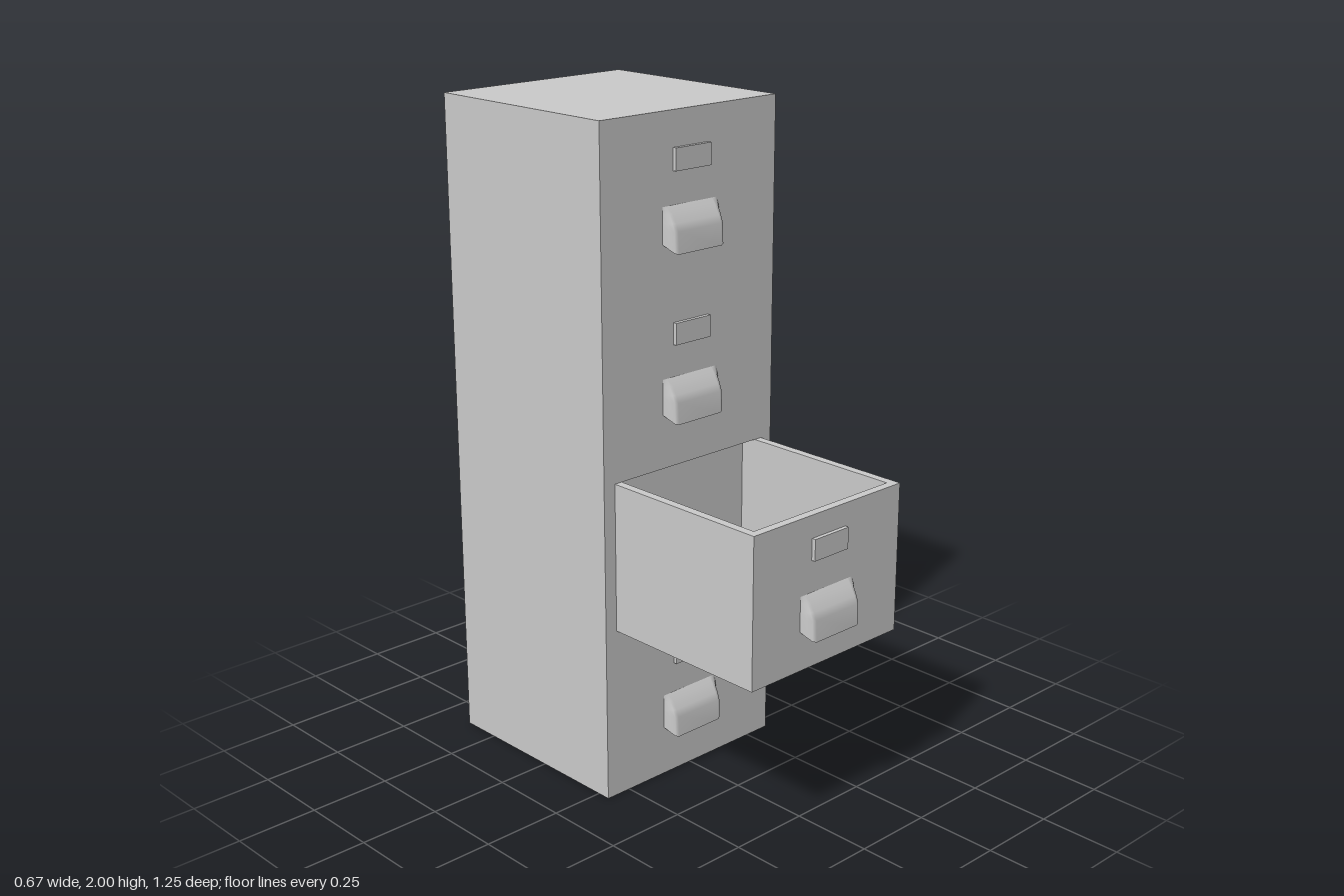
import * as THREE from 'three';

const mat = new THREE.MeshStandardMaterial({ color: 0xcccccc, side: THREE.DoubleSide });

const W = 0.667, H = 2, BACK = -0.625, FRONT = 0.042;      // cabinet
const DW = 0.586, DH = 0.45, DD = 0.62, LIP = 0.026;       // drawer
const FIRST = 0.036, STEP = 0.493, PULL = 0.543;           // drawer spacing, travel

function add(parent, name, geometry, x = 0, y = 0, z = 0) {
  const mesh = new THREE.Mesh(geometry, mat);
  mesh.name = name;
  mesh.position.set(x, y, z);
  parent.add(mesh);
  return mesh;
}

// Sheet-metal box with some sides left out (0 +x, 1 -x, 2 +y, 3 -y, 4 +z, 5 -z)
function openBox(w, h, d, omit) {
  const g = new THREE.BoxGeometry(w, h, d);
  const index = Array.from(g.index.array);
  g.setIndex(index.filter((_, i) => !omit.includes(Math.floor(i / 6))));
  g.clearGroups();
  return g;
}

function rect(Type, x0, y0, x1, y1) {
  return new Type([[x0, y0], [x1, y0], [x1, y1], [x0, y1]].map(p => new THREE.Vector2(...p)));
}

// Hooded pull: plan outline swept down a sloping profile, closed underneath
function handleGeometry() {
  const plan = [[-0.108, 0], [-0.1, 0.5], [-0.093, 0.88], [-0.082, 1],
    [0.082, 1], [0.093, 0.88], [0.1, 0.5], [0.108, 0]];
  const profile = [[0.215, 0], [0.195, 0.014], [0.17, 0.028], [0.148, 0.037], [0.11, 0.04]];
  const last = profile.length - 1, n = plan.length;
  const pos = [], idx = [];
  profile.forEach(([y, depth], r) => plan.forEach(([x, t]) => {
    const drop = r === last ? 0.025 * t : 0;
    pos.push(x, y - drop, depth * t);
  }));
  for (let r = 0; r < last; r++) {
    for (let i = 0; i < n - 1; i++) {
      const a = r * n + i, b = a + n;
      idx.push(a, b, b + 1, a, b + 1, a + 1);
    }
  }
  // underside with its own vertices for a hard edge
  const base = pos.length / 3;
  pos.push(...pos.slice(last * n * 3));
  for (let i = 1; i < n - 1; i++) idx.push(base, base + i + 1, base + i);
  const g = new THREE.BufferGeometry();
  g.setAttribute('position', new THREE.Float32BufferAttribute(pos, 3));
  g.setIndex(idx);
  g.computeVertexNormals();
  return g;
}

// Drawer with its front at z = 0 and its underside at y = 0
function makeDrawer(handle) {
  const g = new THREE.Group();
  add(g, 'drawerShell', openBox(DW, DH, DD, [2, 5]), 0, DH / 2, -DD / 2);

  // inner tray
  const tw = DW - 2 * LIP, td = DD - 2 * LIP, th = DH - LIP;
  add(g, 'drawerTray', openBox(tw, th, td, [2]), 0, LIP + th / 2, -DD / 2);

  // flat lip joining shell and tray
  const lip = rect(THREE.Shape, -DW / 2, -DD / 2, DW / 2, DD / 2);
  lip.holes.push(rect(THREE.Path, -tw / 2, -td / 2, tw / 2, td / 2));
  const lipGeo = new THREE.ShapeGeometry(lip).rotateX(-Math.PI / 2);
  add(g, 'drawerLip', lipGeo, 0, DH, -DD / 2);

  add(g, 'labelHolder', new THREE.BoxGeometry(0.134, 0.064, 0.012), 0, 0.35, 0.006);
  add(g, 'handle', handle, 0, -0.012 + 0.02, 0);
  return g;
}

export function createModel() {
  const model = new THREE.Group();
  model.name = 'filingCabinet';

  // cabinet casing: sides and top, open at the back and below
  add(model, 'casing', openBox(W, H, FRONT - BACK, [3, 4, 5]), 0, H / 2, (FRONT + BACK) / 2);

  // front frame with four drawer openings
  const frame = rect(THREE.Shape, -W / 2, 0, W / 2, H);
  const handle = handleGeometry();
  for (let i = 0; i < 4; i++) {
    const y = FIRST + i * STEP;
    frame.holes.push(rect(THREE.Path, -DW / 2, y, DW / 2, y + DH));
    const drawer = makeDrawer(handle);
    drawer.name = i === 1 ? 'openDrawer' : 'closedDrawer';
    drawer.position.set(0, y, FRONT + (i === 1 ? PULL : 0));
    model.add(drawer);
  }
  add(model, 'frontFrame', new THREE.ShapeGeometry(frame), 0, 0, FRONT);
  return model;
}
